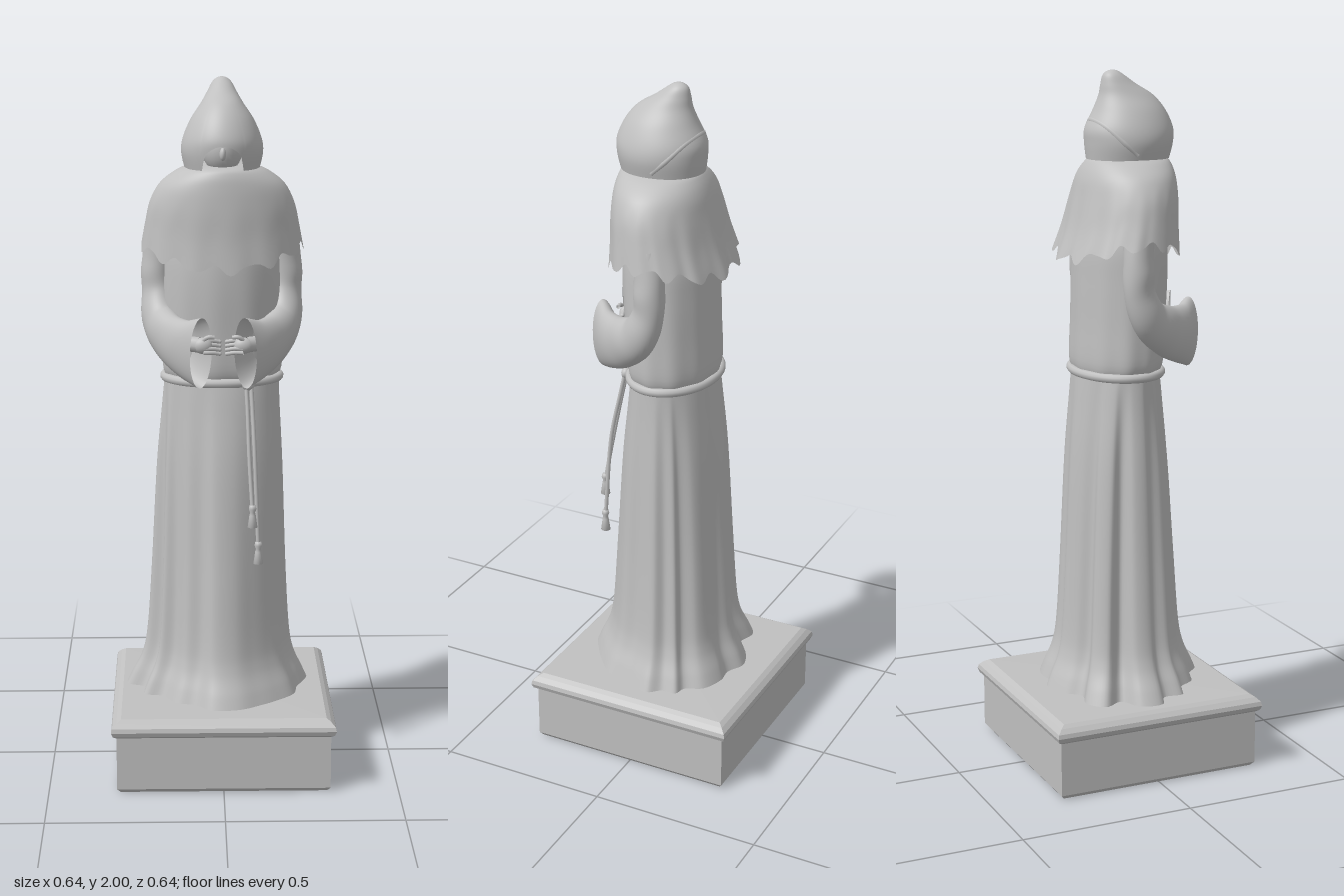
import * as THREE from 'three';

const stone = new THREE.MeshStandardMaterial({ color: 0xc0c0c0, side: THREE.DoubleSide });
stone.name = 'pale grey stone';
const V = (x, y, z) => new THREE.Vector3(x, y, z);

function part(group, name, geometry) {
  const mesh = new THREE.Mesh(geometry, stone);
  mesh.name = name;
  group.add(mesh);
  return mesh;
}

// Smooth interpolation through rows of numbers, u from 0 to 1
function sample(rows, u) {
  const n = rows.length - 1, f = Math.min(Math.max(u, 0), 1) * n;
  const i = Math.min(Math.floor(f), n - 1), t = f - i;
  const p = (k) => rows[Math.min(Math.max(k, 0), n)];
  return rows[0].map((_, c) => {
    const a = p(i - 1)[c], b = p(i)[c], d = p(i + 1)[c], e = p(i + 2)[c];
    return b + 0.5 * t * (d - a + t * (2 * a - 5 * b + 4 * d - e + t * (3 * (b - d) + e - a)));
  });
}

// Tubular surface: fn(u, a) gives a point at height u and angle a
function loft(fn, nu, na, flip = false) {
  const pos = [], idx = [];
  for (let i = 0; i <= nu; i++)
    for (let j = 0; j < na; j++) pos.push(...fn(i / nu, (j / na) * Math.PI * 2));
  for (let i = 0; i < nu; i++)
    for (let j = 0; j < na; j++) {
      const a = i * na + j, b = i * na + ((j + 1) % na), c = a + na, d = b + na;
      if (flip) idx.push(a, b, c, b, d, c);
      else idx.push(a, c, b, b, c, d);
    }
  const g = new THREE.BufferGeometry();
  g.setAttribute('position', new THREE.Float32BufferAttribute(pos, 3));
  g.setIndex(idx);
  g.computeVertexNormals();
  return g;
}

const tube = (pts, r, n = 24) => new THREE.TubeGeometry(new THREE.CatmullRomCurve3(pts), n, r, 8);

function ellipsoid(group, name, p, s) {
  const m = part(group, name, new THREE.SphereGeometry(1, 24, 16));
  m.position.set(...p);
  m.scale.set(...s);
  return m;
}

function buildPlinth(g) {
  const profile = [[0, 0], [0.295, 0], [0.305, 0.012], [0.305, 0.168], [0.315, 0.175], [0.32, 0.188],
    [0.317, 0.2], [0.305, 0.212], [0.292, 0.22], [0, 0.226]];
  const geo = new THREE.LatheGeometry(profile.map(([r, y]) => new THREE.Vector2(r * Math.SQRT2, y)), 4)
    .rotateY(Math.PI / 4).toNonIndexed();
  geo.computeVertexNormals();
  part(g, 'plinth', geo);
}

function buildRobe(g) {
  // Folded hem outline (x, z), ordered from +x towards +z
  const hem = new THREE.CatmullRomCurve3([
    [0.253, -0.036], [0.24, 0.012], [0.22, 0.055], [0.208, 0.115], [0.16, 0.165], [0.11, 0.203],
    [0.045, 0.24], [-0.035, 0.242], [-0.08, 0.2], [-0.135, 0.182], [-0.175, 0.125], [-0.228, 0.108],
    [-0.228, 0.05], [-0.277, 0.02], [-0.268, -0.045], [-0.21, -0.08], [-0.232, -0.135], [-0.185, -0.176],
    [-0.12, -0.162], [-0.08, -0.2], [-0.01, -0.225], [0.045, -0.2], [0.095, -0.202], [0.16, -0.175],
    [0.188, -0.125], [0.222, -0.113], [0.226, -0.07],
  ].map(([x, z]) => V(x, 0, z)), true);
  // height, share of hem outline, scale of hem outline
  const rows = [[0.225, 1, 1], [0.26, 1, 0.94], [0.32, 0.98, 0.84], [0.4, 0.95, 0.79], [0.6, 0.85, 0.755],
    [0.9, 0.55, 0.74], [1.08, 0.2, 0.72], [1.16, 0, 0.7]];
  const outline = hem.getPoints(162);
  part(g, 'robeSkirt', loft((u, a) => {
    const [y, k, s] = sample(rows, u);
    const h = outline[Math.round((a / (2 * Math.PI)) * 162)];
    const t = Math.atan2(h.z, h.x);
    return [h.x * s * k + Math.cos(t) * 0.163 * (1 - k), y, h.z * s * k + (Math.sin(t) * 0.117 - 0.004) * (1 - k)];
  }, 48, 162));

  // Bloused upper body: height, half width, depth centre, half depth
  const body = [[1.15, 0.155, -0.005, 0.112], [1.19, 0.17, -0.002, 0.125], [1.3, 0.168, 0.003, 0.127],
    [1.42, 0.165, 0.008, 0.13], [1.52, 0.16, 0.01, 0.128], [1.62, 0.14, 0.015, 0.11]];
  part(g, 'robeBody', loft((u, a) => {
    const [y, w, zc, d] = sample(body, u);
    const f = 1 + 0.014 * Math.cos(11 * a) * (1 - u);
    return [w * f * Math.cos(a), y, zc + d * f * Math.sin(a)];
  }, 24, 96));
}

function buildCape(g) {
  const rows = [[1.515, 0.228, 0.001, 0.166], [1.58, 0.217, 0.012, 0.151], [1.65, 0.203, 0.022, 0.141],
    [1.705, 0.178, 0.028, 0.132], [1.74, 0.138, 0.033, 0.121], [1.758, 0.1, 0.035, 0.105],
    [1.765, 0.06, 0.035, 0.06], [1.767, 0.01, 0.035, 0.01]];
  part(g, 'shoulderCape', loft((u, a) => {
    const [y, w, zc, d] = sample(rows, u), drop = Math.max(0, 1 - u * 2.6);
    const back = Math.max(0, -Math.sin(a));
    const f = 1 + drop * (0.012 + 0.035 * back) * Math.cos(13 * a);
    const sag = drop * (0.05 * Math.sin(a) ** 2 - 0.018 + 0.012 * Math.cos(13 * a) + 0.004 * Math.sin(22 * a));
    return [w * f * Math.cos(a), y - sag, zc + d * f * Math.sin(a)];
  }, 32, 144));
}

function buildHead(g) {
  const rows = [[1.755, 0.105, 0.035, 0.12], [1.8, 0.114, 0.0375, 0.127], [1.84, 0.108, 0.038, 0.127],
    [1.89, 0.086, 0.038, 0.104], [1.93, 0.059, 0.028, 0.079], [1.96, 0.041, 0.006, 0.052],
    [1.985, 0.027, -0.009, 0.031], [1.997, 0.013, -0.012, 0.015], [2, 0.0005, -0.012, 0.0005]];
  // Hood with an arched face opening cut up from the front edge
  part(g, 'hood', loft((u, a) => {
    const arch = Math.sin(a) > 0 ? 0.2 * Math.sqrt(Math.max(0, 1 - (Math.cos(a) / 0.52) ** 2)) : 0;
    const [y, w, zc, d] = sample(rows, arch + (1 - arch) * u);
    return [w * Math.cos(a), y, zc + d * Math.sin(a)];
  }, 40, 120));
  part(g, 'hoodFold', tube([V(0.1, 1.77, 0.02), V(0.095, 1.805, -0.018), V(0.06, 1.845, -0.054), V(0, 1.862, -0.071),
    V(-0.06, 1.845, -0.054), V(-0.095, 1.805, -0.018), V(-0.1, 1.77, 0.02)], 0.01, 48));
  ellipsoid(g, 'face', [0, 1.81, 0.075], [0.056, 0.07, 0.06]);
  ellipsoid(g, 'nose', [0, 1.8, 0.136], [0.009, 0.018, 0.012]);
  part(g, 'neck', new THREE.CylinderGeometry(0.042, 0.05, 0.08, 24)).position.set(0, 1.76, 0.045);
}

function buildArm(g, side) {
  // Sleeve path x, y, z, then half width and half height
  const rows = [[0.17, 1.58, -0.01, 0.042, 0.045], [0.184, 1.48, -0.015, 0.042, 0.046],
    [0.184, 1.4, -0.012, 0.042, 0.048], [0.178, 1.325, 0.022, 0.046, 0.06], [0.148, 1.282, 0.085, 0.044, 0.072],
    [0.105, 1.262, 0.15, 0.04, 0.084], [0.062, 1.258, 0.195, 0.036, 0.1]];
  const N = V(0.85, 0, 0.53).normalize();
  part(g, 'sleeve', loft((u, a) => {
    const [x, y, z, w, h] = sample(rows, u);
    const p = sample(rows, u - 0.02), q = sample(rows, u + 0.02);
    const T = V(q[0] - p[0], q[1] - p[1], q[2] - p[2]);
    const B = T.cross(N).normalize();
    const ripple = 1 + 0.04 * Math.sin(u * 34) * (1 - u), c = Math.cos(a), s = Math.sin(a);
    return [side * (x + N.x * w * ripple * c + B.x * h * s), y + B.y * h * s,
      z + N.z * w * ripple * c + B.z * h * s];
  }, 40, 40, side > 0));

  // Hand with fingers pointing inwards
  const hand = new THREE.Group();
  hand.name = 'hand';
  g.add(hand);
  part(hand, 'wrist', tube([V(side * 0.14, 1.28, 0.12), V(side * 0.1, 1.28, 0.16), V(side * 0.065, 1.28, 0.185)], 0.022));
  ellipsoid(hand, 'palm', [side * 0.056, 1.278, 0.185], [0.027, 0.023, 0.018]);
  for (let i = 0; i < 4; i++) {
    const y = 1.291 - i * 0.01, z = 0.175 + i * 0.007;
    part(hand, 'finger', tube([V(side * 0.055, y, z + 0.008), V(side * 0.03, y, z + 0.004), V(side * 0.01, y - 0.004, z - 0.002)], 0.0055, 8));
    ellipsoid(hand, 'fingertip', [side * 0.01, y - 0.004, z - 0.002], [0.0055, 0.0055, 0.0055]);
  }
  part(hand, 'thumb', tube([V(side * 0.06, 1.29, 0.19), V(side * 0.042, 1.304, 0.197), V(side * 0.025, 1.303, 0.195)], 0.006, 8));
}

function buildRope(g) {
  const belt = [];
  for (let i = 0; i < 32; i++) {
    const a = (i / 32) * Math.PI * 2;
    belt.push(V(0.164 * Math.cos(a), 1.155, 0.12 * Math.sin(a) - 0.003));
  }
  part(g, 'ropeBelt', new THREE.TubeGeometry(new THREE.CatmullRomCurve3(belt, true), 96, 0.013, 10, true));
  const knob = [[0, 0.03], [0.009, 0.028], [0.011, 0.018], [0.007, 0.008], [0.009, 0], [0.014, -0.035], [0, -0.037]];
  const ends = [[0.066, 0.083, 0.8, 0.186], [0.08, 0.1, 0.69, 0.178]];
  for (const [x0, x1, y1, z1] of ends) {
    part(g, 'hangingCord', tube([V(x0, 1.155, 0.118), V(x0 + 0.004, 1.08, 0.134), V((x0 + x1) / 2, 0.95, 0.16), V(x1, y1, z1)], 0.006, 32));
    part(g, 'tassel', new THREE.LatheGeometry(knob.map(([r, y]) => new THREE.Vector2(r, y)).reverse(), 16))
      .position.set(x1, y1 - 0.01, z1);
  }
  ellipsoid(g, 'beltKnot', [0.072, 1.152, 0.118], [0.018, 0.017, 0.014]);
}

export function createModel() {
  const model = new THREE.Group();
  model.name = 'hoodedMonkStatue';
  buildPlinth(model);
  buildRobe(model);
  buildCape(model);
  buildHead(model);
  for (const [name, side] of [['leftArm', 1], ['rightArm', -1]]) {
    const arm = new THREE.Group();
    arm.name = name;
    model.add(arm);
    buildArm(arm, side);
  }
  buildRope(model);
  return model;
}
